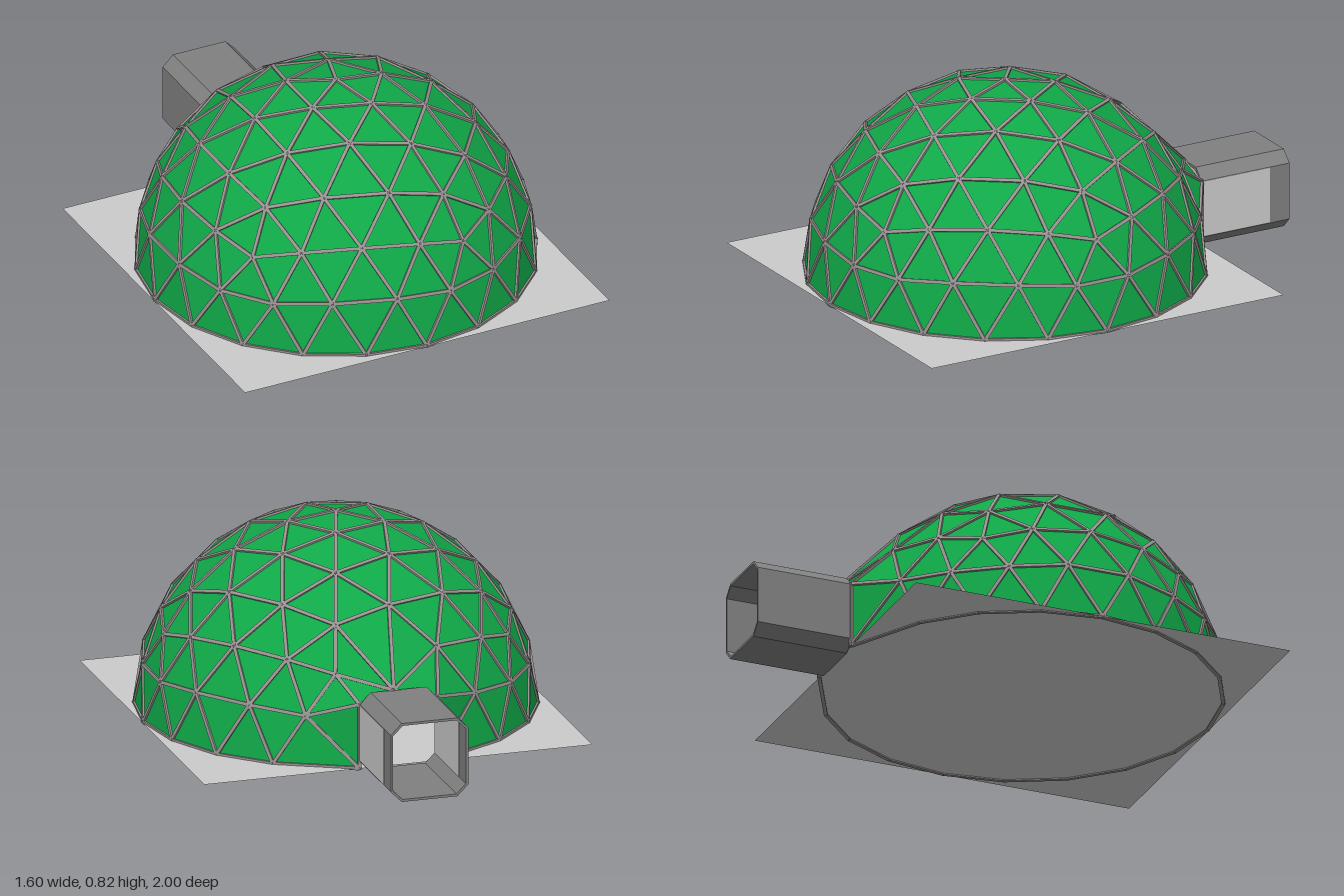
import * as THREE from 'three';
import { mergeGeometries } from 'three/addons/utils/BufferGeometryUtils.js';

const R = 0.792, BASE = 0.016, CZ = 0.2, FREQ = 4;
const DOOR = { halfWidth: 0.16, top: 0.325, shoulder: 0.28, z: -0.6 };

const mat = (color, extra = {}) => new THREE.MeshStandardMaterial({ color, flatShading: true, ...extra });

function addMesh(parent, name, geometry, material) {
  const mesh = new THREE.Mesh(geometry, material);
  mesh.name = name;
  parent.add(mesh);
  return mesh;
}

// Upper fifteen faces of an icosahedron standing on a vertex
function icosahedronFaces() {
  const ring = (k, y, shift) => {
    const a = (k + shift) * Math.PI * 0.4, r = 2 / Math.sqrt(5);
    return new THREE.Vector3(Math.cos(a) * r, y, -Math.sin(a) * r);
  };
  const h = 1 / Math.sqrt(5), top = new THREE.Vector3(0, 1, 0), faces = [];
  for (let k = 0; k < 5; k++) {
    const a = ring(k, h, 0), b = ring(k + 1, h, 0);
    const c = ring(k, -h, 0.5), d = ring(k + 1, -h, 0.5);
    faces.push([top, a, b], [a, c, b], [b, c, d]);
  }
  return faces;
}

// Split each face, push points to the sphere and keep the upper half
function domeTriangles() {
  const triangles = [];
  for (const [a, b, c] of icosahedronFaces()) {
    const point = (i, j) => a.clone().multiplyScalar(FREQ - i - j)
      .addScaledVector(b, i).addScaledVector(c, j).normalize();
    for (let i = 0; i < FREQ; i++) {
      for (let j = 0; j < FREQ - i; j++) {
        triangles.push([point(i, j), point(i + 1, j), point(i, j + 1)]);
        if (i + j < FREQ - 1) triangles.push([point(i + 1, j), point(i + 1, j + 1), point(i, j + 1)]);
      }
    }
  }
  const isDoorFoot = p => Math.abs(p.x) < 0.02 && Math.abs(p.y) < 0.02 && p.z < 0;
  return triangles
    .filter(t => t.every(p => p.y > -0.01) && !t.some(isDoorFoot))
    .map(t => t.map(placePoint));
}

// Move a unit point into place; points beside the doorway meet its rim
function placePoint(p) {
  const out = p.clone().multiplyScalar(R).add(new THREE.Vector3(0, BASE, CZ));
  if (p.z < -0.6 && Math.abs(p.x) < 0.34) {
    const side = Math.sign(p.x) * DOOR.halfWidth;
    if (p.y < 0.05) out.set(side, BASE, DOOR.z);
    else if (p.y < 0.4 && Math.abs(p.x) < 0.22) out.set(side, DOOR.shoulder, DOOR.z);
    else if (p.y < 0.58 && Math.abs(p.x) < 0.1) out.set(0.02, DOOR.top, DOOR.z);
  }
  return out;
}

// Square bar from a to b with one face turned outward
function strut(a, b) {
  const along = b.clone().sub(a), length = along.length();
  const mid = a.clone().add(b).multiplyScalar(0.5);
  along.normalize();
  const out = mid.clone().sub(new THREE.Vector3(0, BASE, CZ));
  const side = new THREE.Vector3().crossVectors(out, along).normalize();
  out.crossVectors(along, side);
  return new THREE.BoxGeometry(0.014, 0.015, length)
    .applyMatrix4(new THREE.Matrix4().makeBasis(side, out, along).setPosition(mid));
}

function createDome() {
  const dome = new THREE.Group();
  dome.name = 'dome';
  const triangles = domeTriangles();

  const panels = new THREE.BufferGeometry().setFromPoints(triangles.flat());
  panels.computeVertexNormals();
  addMesh(dome, 'domePanels', panels, mat(0x10a848, { side: THREE.DoubleSide }));

  // One strut per shared edge, one joint per shared corner
  const key = p => p.toArray().map(v => Math.round(v * 1000) + 0).join(',');
  const struts = new Map(), joints = new Map();
  for (const t of triangles) {
    t.forEach((p, i) => {
      const q = t[(i + 1) % 3];
      const edge = [key(p), key(q)].sort().join('|');
      if (!struts.has(edge)) struts.set(edge, strut(p, q));
      if (!joints.has(key(p))) {
        joints.set(key(p), new THREE.IcosahedronGeometry(0.01, 0).translate(p.x, p.y, p.z));
      }
    });
  }
  const metal = mat(0x989090);
  addMesh(dome, 'struts', mergeGeometries([...struts.values()]), metal);
  addMesh(dome, 'joints', mergeGeometries([...joints.values()]), metal);
  return dome;
}

// Rectangle with chamfered corners
function octagon(inset) {
  const w = DOOR.halfWidth - inset, top = DOOR.top - inset, c = 0.045 - inset * 0.59;
  return [
    [w, inset + c], [w, top - c], [w - c, top], [c - w, top],
    [-w, top - c], [-w, inset + c], [c - w, inset], [w - c, inset],
  ].map(([x, y]) => new THREE.Vector2(x, y));
}

function createTunnel() {
  const tunnel = new THREE.Group();
  tunnel.name = 'entranceTunnel';
  const shape = new THREE.Shape(octagon(0));
  shape.holes.push(new THREE.Path(octagon(0.01)));
  const shell = new THREE.ExtrudeGeometry(shape, { depth: 0.4, bevelEnabled: false });
  addMesh(tunnel, 'tunnelShell', shell, mat(0x808080)).position.z = -1;

  // Pale panels on the left wall and on the inside of the right wall
  for (const [name, x] of [['outerWallPanel', 0.16], ['innerWallPanel', -0.15]]) {
    const panel = addMesh(tunnel, name, new THREE.BoxGeometry(0.004, 0.23, 0.31), mat(0xcccccc));
    panel.position.set(x, 0.164, -0.755);
  }
  return tunnel;
}

export function createModel() {
  const model = new THREE.Group();
  model.name = 'geodesicDome';
  model.add(createDome(), createTunnel());

  // Flat square of ground under the dome
  const ground = addMesh(model, 'groundSheet', new THREE.PlaneGeometry(1.6, 1.6),
    mat(0xcccccc, { side: THREE.DoubleSide }));
  ground.rotation.x = -Math.PI / 2;
  ground.position.set(0, 0.014, CZ);
  return model;
}
